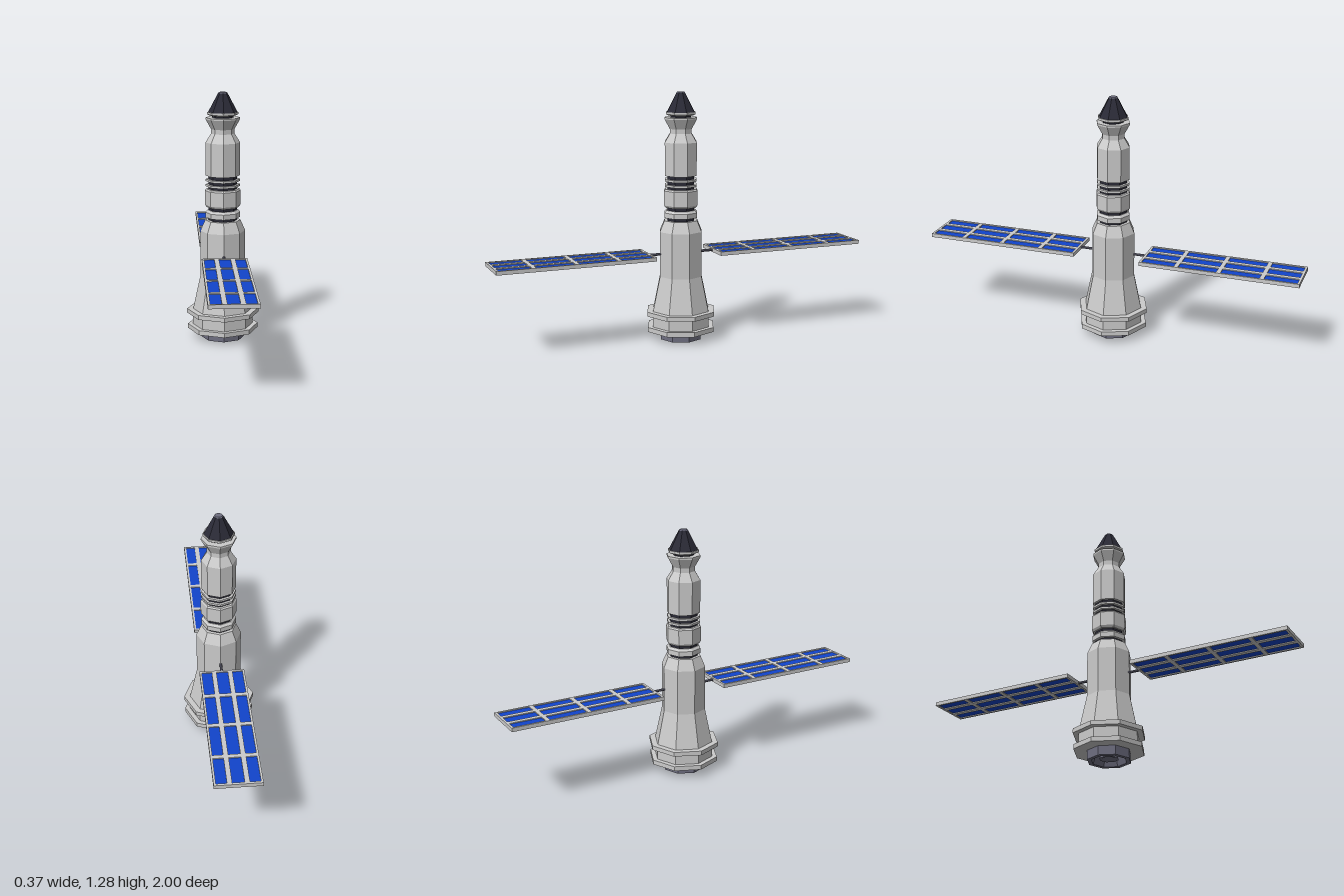
import * as THREE from 'three';

const mat = (color) => new THREE.MeshStandardMaterial({ color, flatShading: true });

// Eight-sided turned part from [radius, height] pairs, listed bottom to top
function turned(name, profile, material) {
  const points = profile.map(([r, y]) => new THREE.Vector2(r, y));
  const mesh = new THREE.Mesh(new THREE.LatheGeometry(points, 8), material);
  mesh.name = name;
  return mesh;
}

// Closed ring or drum with straight sides
const drum = (name, r, y0, y1, material) =>
  turned(name, [[0, y0], [r, y0], [r, y1], [0, y1]], material);

function rectangle(Type, x0, x1, z0, z1) {
  const p = new Type();
  p.moveTo(x0, z0);
  p.lineTo(x1, z0);
  p.lineTo(x1, z1);
  p.lineTo(x0, z1);
  p.closePath();
  return p;
}

// Solar wing reaching along +z: lattice frame, blue cells and a strut
function solarWing(name, grey, blue, steel) {
  const wing = new THREE.Group();
  wing.name = name;
  const y = 0.454, inner = 0.177, outer = 1, half = 0.115;

  const shape = rectangle(THREE.Shape, -half, half, inner, outer);
  const columns = [[-0.104, -0.053], [-0.029, 0.029], [0.053, 0.104]];
  const rows = [[0.189, 0.36], [0.382, 0.58], [0.602, 0.8], [0.822, 0.988]];
  for (const [x0, x1] of columns) {
    for (const [z0, z1] of rows) shape.holes.push(rectangle(THREE.Path, x0, x1, z0, z1));
  }
  const frameGeometry = new THREE.ExtrudeGeometry(shape, { depth: 0.02, bevelEnabled: false });
  frameGeometry.rotateX(Math.PI / 2);
  const frame = new THREE.Mesh(frameGeometry, grey);
  frame.name = 'panelFrame';
  frame.position.y = y + 0.01;

  const cells = new THREE.Mesh(new THREE.BoxGeometry(0.22, 0.01, 0.815), blue);
  cells.name = 'solarCells';
  cells.position.set(0, y, (inner + outer) / 2);

  const strut = new THREE.Mesh(new THREE.CylinderGeometry(0.007, 0.007, 0.1, 8), steel);
  strut.name = 'panelStrut';
  strut.rotation.x = Math.PI / 2;
  strut.position.set(0, y, 0.135);

  wing.add(frame, cells, strut);
  return wing;
}

export function createModel() {
  const model = new THREE.Group();
  model.name = 'spaceStation';
  const grey = mat(0xcccccc);
  const dark = mat(0x2a2a36);
  const steel = mat(0x6e6e80);
  const blue = mat(0x1144cc);

  // Hollow engine ring with a small bell inside
  model.add(
    turned('engineRing', [[0, 0.046], [0.075, 0.046], [0.09, 0], [0.112, 0], [0.112, 0.05]], steel),
    turned('engineBell', [[0, 0.03], [0.035, 0.012], [0.05, 0.012], [0.03, 0.05]], steel)
  );

  // Lower hull: two flanges, tapered skirt, straight tank and shoulder
  model.add(
    turned('lowerHull', [
      [0, 0.047], [0.183, 0.047], [0.183, 0.071], [0.157, 0.071], [0.157, 0.13],
      [0.187, 0.13], [0.187, 0.153], [0.155, 0.153], [0.116, 0.335], [0.116, 0.57],
      [0.091, 0.627], [0, 0.627]
    ], grey)
  );

  // Dark cores showing between the grey sections
  model.add(
    drum('middleCore', 0.074, 0.62, 0.87, dark),
    drum('upperCore', 0.055, 1.14, 1.172, dark)
  );

  // Lower collar and middle module
  model.add(
    turned('lowerCollar', [[0, 0.642], [0.09, 0.642], [0.09, 0.668], [0.078, 0.68], [0, 0.68]], grey),
    turned('middleModule', [
      [0, 0.695], [0.084, 0.695], [0.092, 0.707], [0.092, 0.782], [0.086, 0.79], [0, 0.79]
    ], grey)
  );
  for (const y of [0.803, 0.83]) model.add(drum('coreRing', 0.088, y, y + 0.011, grey));

  // Upper module with a waist and flared rim
  model.add(
    turned('upperModule', [
      [0, 0.859], [0.088, 0.859], [0.088, 1.03], [0.06, 1.075], [0.06, 1.098],
      [0.088, 1.148], [0.088, 1.157], [0, 1.157]
    ], grey)
  );

  // Nose collar, cone and tip
  model.add(
    turned('noseCollar', [
      [0, 1.166], [0.065, 1.166], [0.08, 1.173], [0.08, 1.184], [0, 1.184]
    ], grey),
    turned('noseCone', [[0, 1.184], [0.075, 1.184], [0.024, 1.28], [0, 1.28]], dark),
    turned('noseTip', [[0.024, 1.28], [0.02, 1.285], [0, 1.285]], steel)
  );

  // Front and rear solar wings
  const front = solarWing('frontSolarWing', grey, blue, steel);
  const rear = solarWing('rearSolarWing', grey, blue, steel);
  rear.rotation.y = Math.PI;
  model.add(front, rear);

  return model;
}
